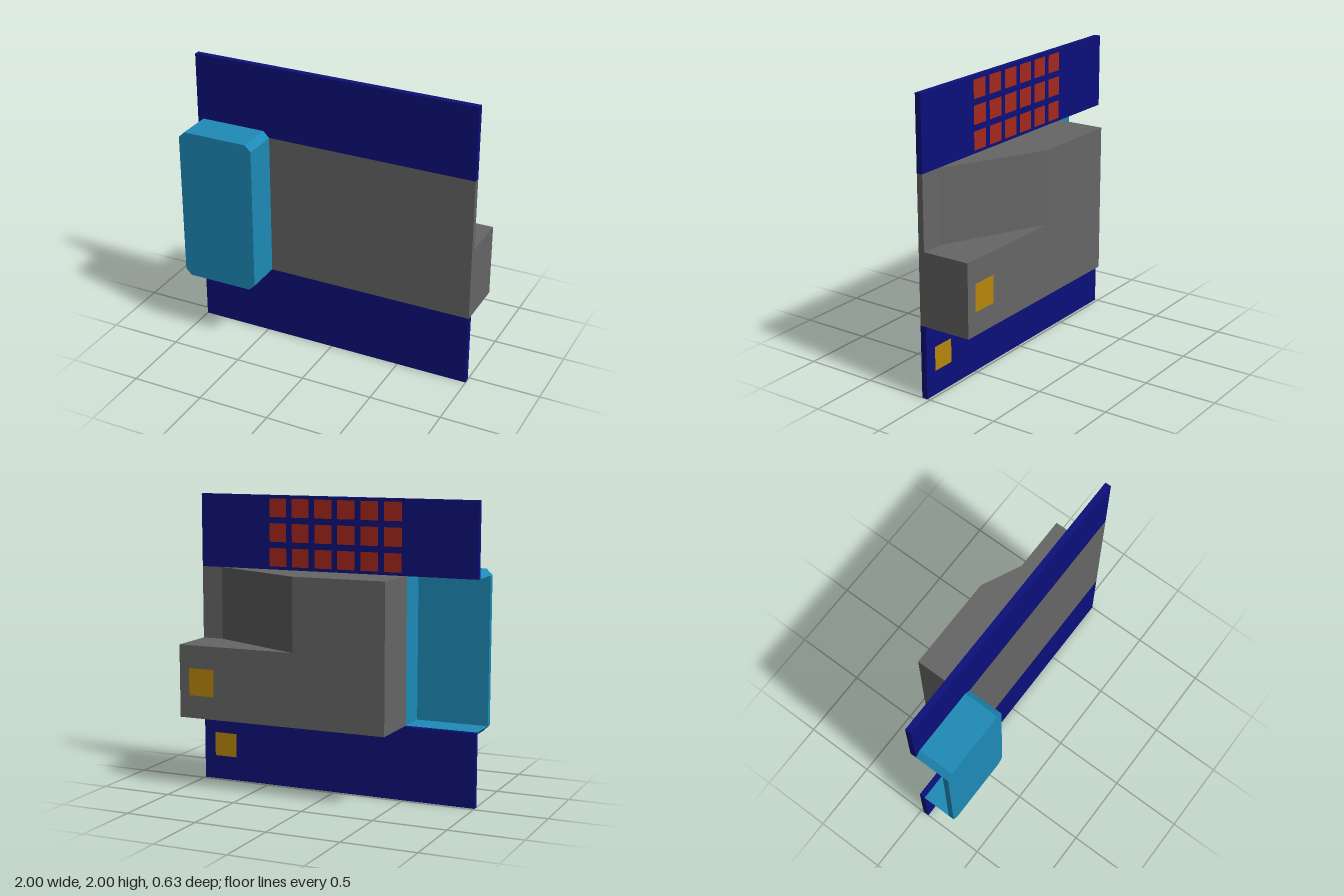
import * as THREE from 'three';

const U = 1 / 24; // wall thickness, and the grid most sizes follow
const BACK = -7.5 * U, PLATE_BACK = 0.5 * U, PLATE_FRONT = 1.5 * U, FRONT = 7.5 * U;

const mat = (color) => new THREE.MeshStandardMaterial({ color, flatShading: true });

export function createModel() {
  const model = new THREE.Group();
  const blue = mat(0x0c107a), grey = mat(0x666666), cyan = mat(0x1e8bb8);
  const red = mat(0xa5281b), gold = mat(0xb8860b);

  const add = (name, geometry, material, parent = model) => {
    const mesh = new THREE.Mesh(geometry, material);
    mesh.name = name;
    parent.add(mesh);
    return mesh;
  };
  // Box given by its two extreme corners
  const box = (name, material, a, b) =>
    add(name, new THREE.BoxGeometry(b[0] - a[0], b[1] - a[1], b[2] - a[2]), material)
      .position.set((a[0] + b[0]) / 2, (a[1] + b[1]) / 2, (a[2] + b[2]) / 2);
  const extrude = (points, depth) => new THREE.ExtrudeGeometry(
    new THREE.Shape(points.map(([x, y]) => new THREE.Vector2(x, y))), { depth, bevelEnabled: false });
  // Flat square facing backwards, just proud of the surface behind it
  const square = (name, material, size, x, y, z, parent) => {
    const mesh = add(name, new THREE.PlaneGeometry(size, size), material, parent);
    mesh.rotation.y = Math.PI;
    mesh.position.set(x, y, z - 0.003);
  };

  // Upper and lower bands of the thin wall panel
  box('lowerPanel', blue, [-1, 0, PLATE_BACK], [1, 0.5, PLATE_FRONT]);
  box('upperPanel', blue, [-1, 1.5, PLATE_BACK], [1, 2, PLATE_FRONT]);

  // Grey housing: full box below, top half cut away diagonally
  box('lowerHousing', grey, [-0.5, 0.5, BACK], [1, 1, PLATE_FRONT]);
  const upper = extrude([
    [-0.5, -PLATE_FRONT], [1, -PLATE_FRONT], [1, -PLATE_BACK],
    [0.85, -PLATE_BACK], [0.15, -BACK], [-0.5, -BACK],
  ], 0.5);
  upper.rotateX(-Math.PI / 2);
  add('upperHousing', upper, grey).position.y = 1;

  // Cyan hood: chamfered front plate on a three-sided rim, open to the side and back
  const hood = new THREE.Group();
  hood.name = 'hood';
  model.add(hood);
  const outline = [
    [-1, 1.5], [-1 + U, 1.5 + U], [-0.5, 1.5 + U], [-0.5 + U, 1.5],
    [-0.5 + U, 0.5], [-0.5, 0.5 - U], [-1 + U, 0.5 - U], [-1, 0.5],
  ];
  add('hoodFront', extrude(outline, U), cyan, hood).position.z = FRONT - U;
  add('hoodRim', extrude([...outline, [-0.5, 0.5], [-0.5, 1.5]], FRONT - U - PLATE_FRONT), cyan, hood)
    .position.z = PLATE_FRONT;

  // Grid of small red squares on the back of the upper panel
  const grid = new THREE.Group();
  grid.name = 'squareGrid';
  model.add(grid);
  for (let row = 0; row < 3; row++)
    for (let col = 0; col < 6; col++)
      square('gridSquare', red, 0.125, -0.5 + (col + 0.5) / 6, 1.5 + (row + 0.5) / 6, PLATE_BACK, grid);

  // Gold contact squares on the housing and lower panel
  square('housingContact', gold, 0.1875, 5 / 6, 0.75, BACK);
  square('panelContact', gold, 1 / 6, 5 / 6, 0.25, PLATE_BACK);

  return model;
}
